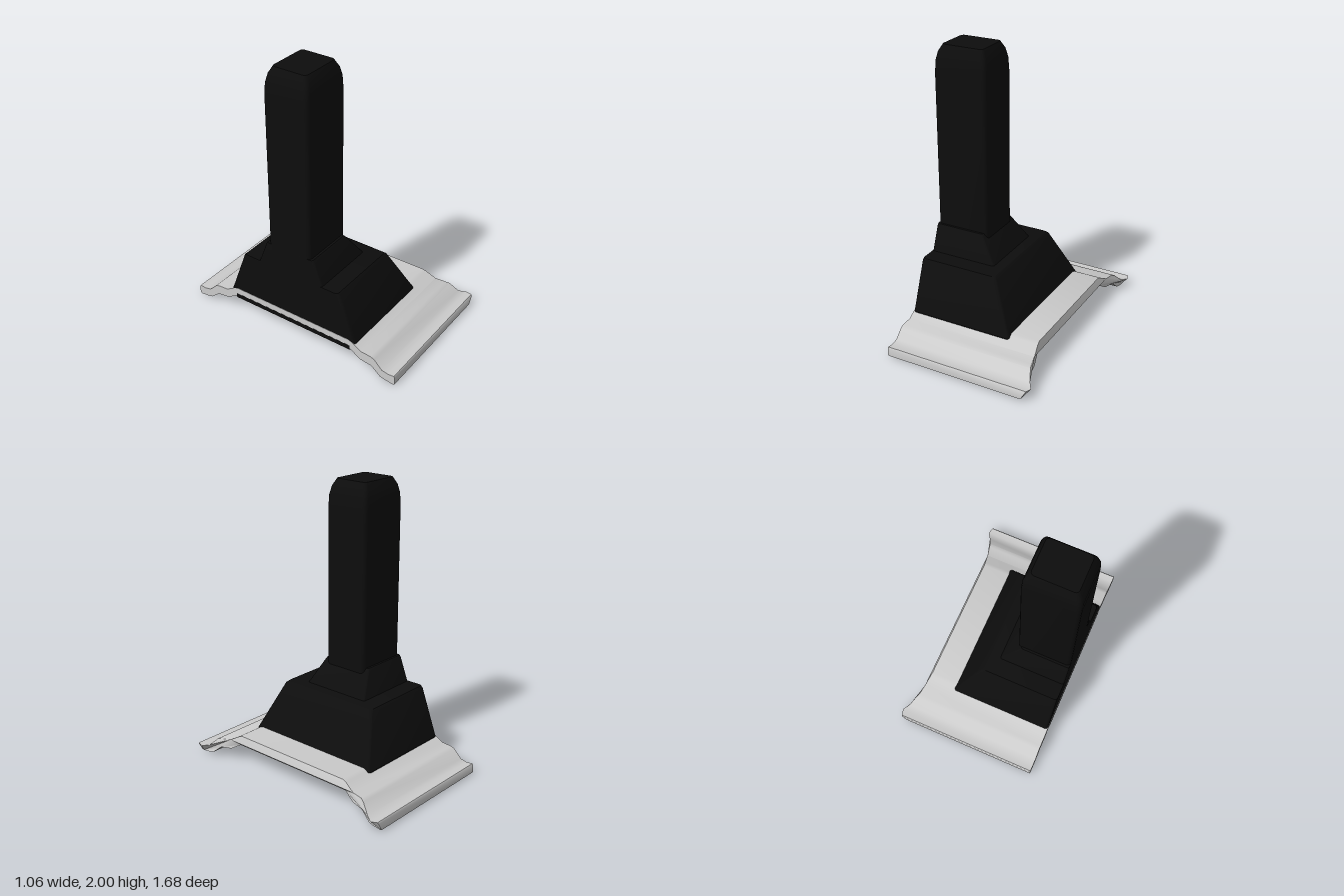
import * as THREE from 'three';
import { toCreasedNormals } from 'three/addons/utils/BufferGeometryUtils.js';

const black = new THREE.MeshStandardMaterial({ color: 0x0d0d0d });
const grey = new THREE.MeshStandardMaterial({ color: 0xcccccc });

// Skin a series of closed rings and cap both ends; flat() projects a point for the caps.
function loft(rings, flat, crease) {
  const n = rings[0].length, last = (rings.length - 1) * n, index = [];
  for (let r = 0; r < rings.length - 1; r++) {
    for (let i = 0; i < n; i++) {
      const a = r * n + i, b = r * n + (i + 1) % n;
      index.push(a, b, b + n, a, b + n, a + n);
    }
  }
  for (const [a, b, c] of THREE.ShapeUtils.triangulateShape(rings[0].map(flat), [])) {
    index.push(c, b, a, last + a, last + b, last + c);
  }
  const geometry = new THREE.BufferGeometry().setFromPoints(rings.flat());
  geometry.setIndex(index);
  return toCreasedNormals(geometry, crease);
}

// Horizontal rounded rectangle, symmetric in z.
function roundedRing([y, x0, x1, halfZ, r]) {
  const points = [], steps = 4;
  const corners = [[x1 - r, halfZ - r], [x0 + r, halfZ - r], [x0 + r, r - halfZ], [x1 - r, r - halfZ]];
  corners.forEach(([cx, cz], k) => {
    for (let i = 0; i <= steps; i++) {
      const t = (k + i / steps) * Math.PI / 2;
      points.push(new THREE.Vector3(cx + r * Math.cos(t), y, -cz - r * Math.sin(t)));
    }
  });
  return points;
}

export function createModel() {
  const model = new THREE.Group();
  const add = (name, geometry, material) => {
    const mesh = new THREE.Mesh(geometry, material);
    mesh.name = name;
    model.add(mesh);
    return mesh;
  };
  // Stack of rounded rectangles: [y, xMin, xMax, half depth, corner radius]
  const stack = (name, rows, material) => add(name,
    loft(rows.map(roundedRing), (p) => new THREE.Vector2(p.x, -p.z), 0.6), material);

  // Stepped body with one flush side
  stack('lowerHousing', [
    [0.17, -0.53, 0.215, 0.52, 0.02],
    [0.19, -0.53, 0.222, 0.526, 0.02],
    [0.525, -0.53, 0.055, 0.4, 0.02],
    [0.54, -0.53, 0.035, 0.385, 0.02],
  ], black);
  stack('upperHousing', [
    [0.53, -0.53, -0.033, 0.264, 0.015],
    [0.71, -0.53, -0.158, 0.195, 0.015],
    [0.72, -0.53, -0.168, 0.186, 0.015],
  ], black);
  stack('column', [
    [0.66, -0.53, -0.138, 0.17, 0.03],
    [1.8, -0.53, -0.138, 0.17, 0.03],
    [1.89, -0.526, -0.143, 0.166, 0.03],
    [1.95, -0.513, -0.156, 0.153, 0.03],
    [2.0, -0.485, -0.183, 0.128, 0.025],
  ], black);

  // Bent foot plate: half profile as [z, y, xEnd], top outwards then bottom inwards
  const half = [
    [0.47, 0.207, 0.42], [0.5, 0.198, 0.425], [0.575, 0.155, 0.44], [0.65, 0.15, 0.45],
    [0.68, 0.14, 0.465], [0.74, 0.08, 0.495], [0.79, 0.07, 0.528], [0.835, 0.075, 0.515],
    [0.842, 0.065, 0.51], [0.842, 0.01, 0.48], [0.83, 0.003, 0.475], [0.77, 0.01, 0.475],
    [0.73, 0.018, 0.47], [0.66, 0.075, 0.455], [0.57, 0.087, 0.44], [0.49, 0.135, 0.42],
  ];
  const profile = [...half, ...half.map(([z, y, x]) => [-z, y, x]).reverse()];
  add('footPlate', loft([
    profile.map(([z, y]) => new THREE.Vector3(-0.532, y, z)),
    profile.map(([z, y, x]) => new THREE.Vector3(x, y, z)),
  ], (p) => new THREE.Vector2(-p.z, p.y), 0.8), grey);

  // Underside: dark panel, raised pad and two rows of studs
  stack('bottomPanel', [
    [0.127, -0.533, 0.22, 0.495, 0.015],
    [0.16, -0.533, 0.22, 0.495, 0.015],
  ], black);
  stack('bottomPad', [
    [0.085, 0.065, 0.185, 0.18, 0.055],
    [0.095, 0.055, 0.195, 0.19, 0.065],
    [0.13, 0.055, 0.195, 0.19, 0.065],
  ], grey);
  for (const side of [-1, 1]) {
    for (const z of [0.23, 0.335, 0.43]) {
      add('stud', new THREE.CylinderGeometry(0.018, 0.014, 0.015, 12), grey)
        .position.set(0.125, 0.123, side * z);
    }
  }
  return model;
}
